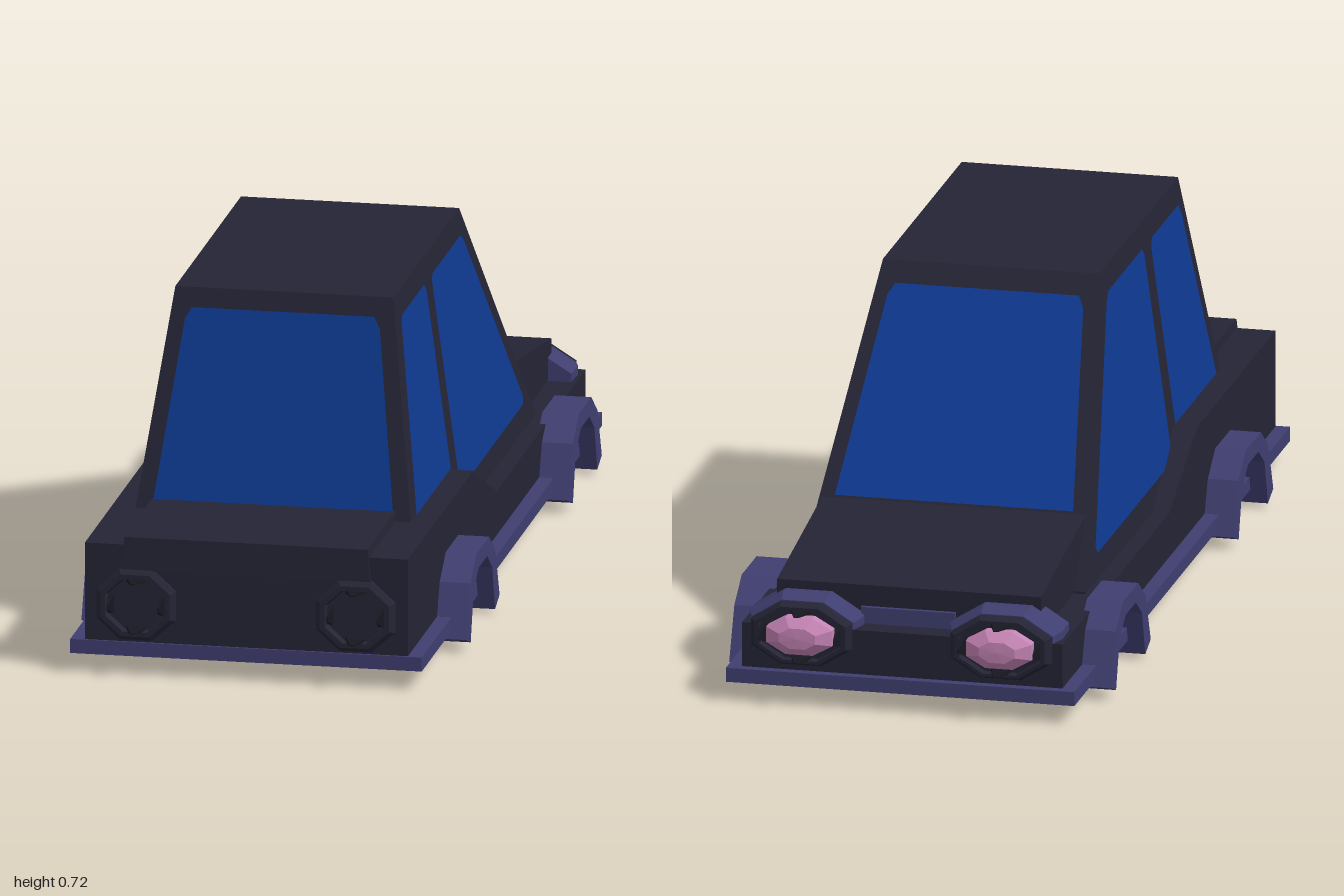
import * as THREE from 'three';

const mat = (name, color, extra = {}) => {
  const m = new THREE.MeshStandardMaterial({ color, flatShading: true, ...extra });
  m.name = name;
  return m;
};

export function createModel() {
  const car = new THREE.Group();
  car.name = 'car';
  const body = mat('charcoal', 0x242435);
  const trim = mat('purple', 0x3f3e70);
  const glass = mat('blueGlass', 0x0e3990, { side: THREE.DoubleSide });
  const dark = mat('black', 0x171720);
  const pink = mat('pinkLamp', 0xc584b5);

  const add = (name, geo, material, parent = car) => {
    const m = new THREE.Mesh(geo, material);
    m.name = name;
    parent.add(m);
    return m;
  };
  const box = (name, x0, x1, y0, y1, z0, z1, material) => {
    const m = add(name, new THREE.BoxGeometry(x1 - x0, y1 - y0, z1 - z0), material);
    m.position.set((x0 + x1) / 2, (y0 + y1) / 2, (z0 + z1) / 2);
  };
  // Side profile of [z, y] points, spread across x to a half width that depends on y
  const sideExtrude = (profile, halfWidth) => {
    const shape = new THREE.Shape(profile.map(([z, y]) => new THREE.Vector2(-z, y)));
    const g = new THREE.ExtrudeGeometry(shape, { depth: 2, bevelEnabled: false });
    g.translate(0, 0, -1).rotateY(Math.PI / 2);
    const p = g.attributes.position;
    for (let i = 0; i < p.count; i++) p.setX(i, p.getX(i) * halfWidth(p.getY(i)));
    g.computeVertexNormals();
    return g;
  };
  // Flat convex pane from corner points
  const pane = (name, pts) => {
    const g = new THREE.BufferGeometry().setFromPoints(pts.map(p => new THREE.Vector3(...p)));
    const index = [];
    for (let i = 1; i < pts.length - 1; i++) index.push(0, i, i + 1);
    g.setIndex(index);
    g.computeVertexNormals();
    add(name, g, glass);
  };

  // Base plate and axles
  box('basePlate', -0.37, 0.37, 0.04, 0.07, -0.96, 0.96, trim);
  box('rearAxle', -0.325, 0.365, 0, 0.042, -0.575, -0.545, dark);
  box('frontAxle', -0.325, 0.365, 0, 0.042, 0.515, 0.545, dark);

  // Lower body with stepped waistline
  add('lowerBody', sideExtrude([[0.955, 0.06], [0.955, 0.277], [0.26, 0.277],
    [0.01, 0.165], [-0.94, 0.165], [-0.94, 0.06]], () => 0.34), body);
  add('hood', sideExtrude([[-0.3, 0.1], [-0.3, 0.305], [-0.48, 0.303],
    [-0.88, 0.245], [-0.88, 0.1]], () => 0.28), body);
  add('trunkLid', sideExtrude([[0.965, 0.225], [0.96, 0.295], [0.6, 0.297], [0.6, 0.225]],
    y => (y > 0.25 ? 0.256 : 0.262)), body);

  // Cabin with leaning sides
  const cabinWidth = y => 0.327 - 0.135 * y;
  add('cabin', sideExtrude([[0.67, 0.1], [0.67, 0.278], [0.55, 0.722], [-0.15, 0.722],
    [-0.585, 0.17], [-0.585, 0.1]], cabinWidth), body);

  // Windscreens: half widths and heights on the sloping end faces
  const screen = [[0.252, 0.297], [0.205, 0.66], [0.192, 0.683]];
  const endPane = (name, zAt, rows) => pane(name, [
    ...rows.map(([x, y]) => [x, y, zAt(y)]),
    ...[...rows].reverse().map(([x, y]) => [-x, y, zAt(y)])]);
  endPane('frontWindow', y => 0.675 - (y - 0.278) * 0.27, screen);
  endPane('rearWindow', y => -0.155 - (0.722 - y) * 0.788,
    [[0.253, 0.309], [0.208, 0.662], [0.195, 0.683]]);

  // Side windows as [z, y]
  const sidePanes = {
    frontSideWindow: [[0.625, 0.28], [0.527, 0.65], [0.51, 0.675], [0.275, 0.675],
      [0.26, 0.66], [0.26, 0.28]],
    rearSideWindow: [[0.2, 0.25], [0.2, 0.66], [0.188, 0.675], [-0.11, 0.675], [-0.135, 0.66],
      [-0.475, 0.235], [-0.465, 0.218], [0.125, 0.218]],
  };
  for (const s of [1, -1]) {
    for (const [name, pts] of Object.entries(sidePanes))
      pane(name, pts.map(([z, y]) => [s * (cabinWidth(y) + 0.004), y, z]));
  }

  // Faceted wheel arches
  const archPts = [[-0.178, 0.028], [-0.132, 0.137], [-0.066, 0.183], [0.066, 0.183],
    [0.132, 0.137], [0.178, 0.028], [0.13, 0.01], [0.1, 0.108], [0.046, 0.147],
    [-0.046, 0.147], [-0.1, 0.108], [-0.13, 0.01]];
  for (const z of [0.485, -0.605]) for (const s of [1, -1]) {
    const g = sideExtrude(archPts, () => 0.0385);
    add('wheelArch', g, trim).position.set(s * 0.3665, 0, z);
  }

  // Octagonal lathe facing +z, profile as [radius, z], apothem 1 at radius 1
  const octagon = (pts, rx, ry) => new THREE.LatheGeometry(
    pts.map(([r, z]) => new THREE.Vector2(r / Math.cos(Math.PI / 8), z)), 8, Math.PI / 8)
    .rotateX(Math.PI / 2).scale(rx, ry, 1);
  // Four tapered claws around a lamp
  const claws = (parent, rx, ry, z0, len) => {
    for (let i = 0; i < 4; i++) {
      const a = i * Math.PI / 2;
      const g = new THREE.CylinderGeometry(0.15, 0.707, 1, 4, 1, false, Math.PI / 4)
        .rotateX(Math.PI / 2).scale(0.012, 0.042, len).rotateZ(a);
      add('lampClaw', g, dark, parent)
        .position.set(Math.cos(a) * rx, Math.sin(a) * ry, z0 + len / 2);
    }
  };

  for (const s of [1, -1]) {
    // Empty lamp sockets on the +z end
    const socket = new THREE.Group();
    socket.name = 'frontLampSocket';
    socket.position.set(s * 0.231, 0.152, 0.94);
    car.add(socket);
    add('socketRing', octagon([[1, 0], [1, 0.025], [0.88, 0.035], [0.75, 0.035],
      [0.7, 0.02], [0, 0.02]], 0.083, 0.075), body, socket);
    claws(socket, 0.053, 0.053, 0.02, 0.04);

    // Pink lamps in purple housings on the -z end
    const lamp = new THREE.Group();
    lamp.name = 'rearLamp';
    lamp.position.set(s * 0.212, 0.152, -0.84);
    lamp.rotation.y = Math.PI;
    car.add(lamp);
    add('lampHousing', octagon([[0, 0], [0.98, 0], [1, 0.06], [0.9, 0.1], [0, 0.1]],
      0.12, 0.075), trim, lamp);
    add('lampRing', octagon([[0.88, 0.08], [0.88, 0.115], [0.8, 0.125], [0.72, 0.125],
      [0.7, 0.108], [0, 0.108]], 0.12, 0.075), body, lamp);
    add('lampGem', octagon([[1, 0.105], [1, 0.13], [0.55, 0.15], [0, 0.152]],
      0.07, 0.04), pink, lamp);
    claws(lamp, 0.08, 0.05, 0.11, 0.05);
  }
  // Trim strip joining the lamp housings
  box('lampBridge', -0.1, 0.1, 0.15, 0.2, -0.89, -0.86, trim);
  return car;
}
